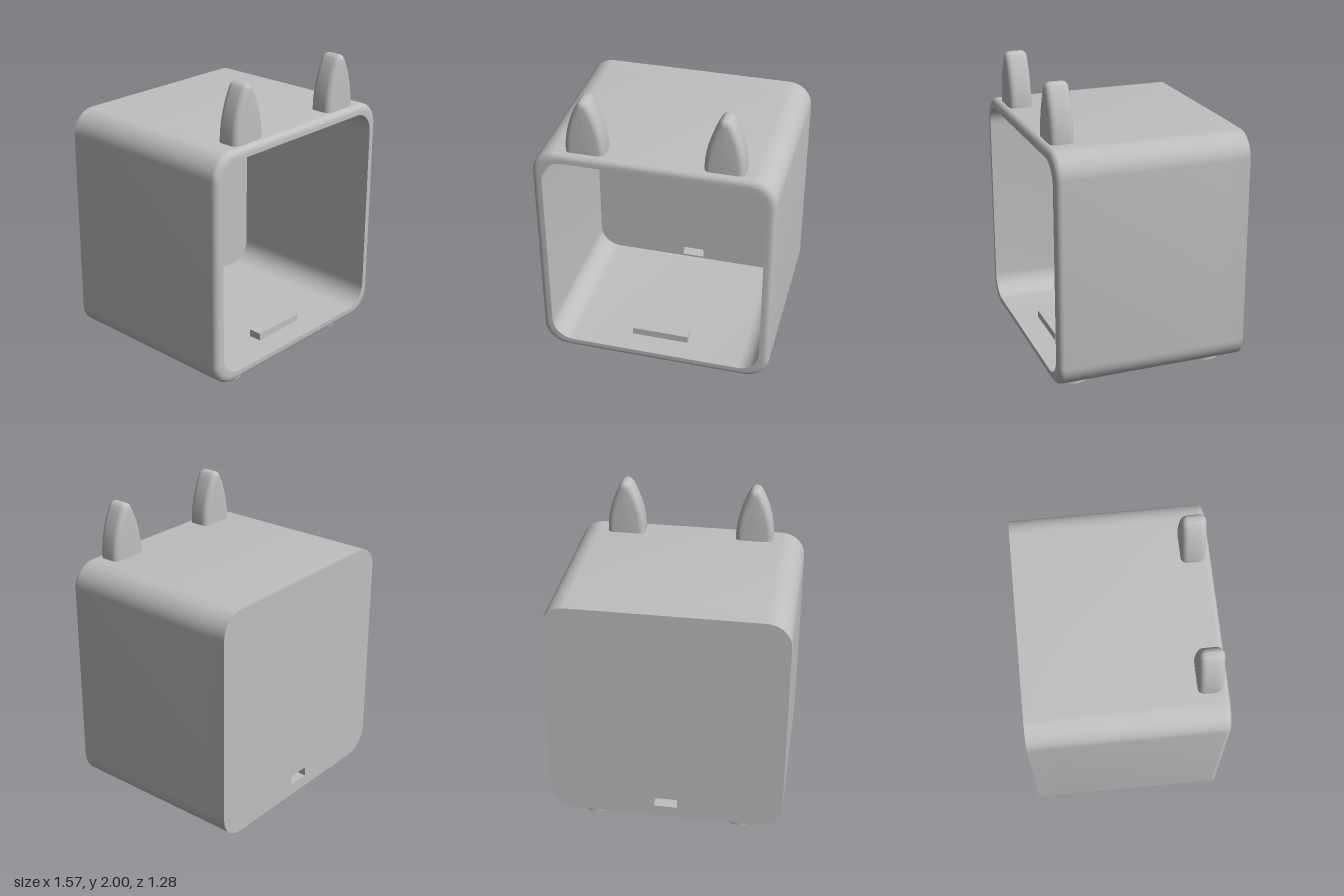
import * as THREE from 'three';
import { toCreasedNormals } from 'three/addons/utils/BufferGeometryUtils.js';

const HALF = 0.785, RADIUS = 0.16, WALL = 0.065, MID_Y = 0.85;
const BACK = -0.64, FRONT = 0.64, INNER_BACK = -0.475;

// Skin a list of equal-length rings, each counter-clockwise seen from +z
function loft(rings) {
  const n = rings[0].length, index = [];
  for (let i = 0; i < rings.length - 1; i++) {
    for (let j = 0; j < n; j++) {
      const k = (j + 1) % n;
      const a = i * n + j, b = i * n + k, c = b + n, d = a + n;
      index.push(a, b, c, a, c, d);
    }
  }
  const g = new THREE.BufferGeometry();
  g.setAttribute('position', new THREE.Float32BufferAttribute(rings.flat(2), 3));
  g.setIndex(index);
  return toCreasedNormals(g, 0.6);
}

// Rounded square outline, shrunk by inset
function squareOutline(inset) {
  const pts = [], steps = 12;
  const r = inset >= WALL ? 0.145 : RADIUS - inset * 0.23;
  const k = HALF - inset - r;
  for (let q = 0; q < 4; q++) {
    const sx = q === 0 || q === 3 ? 1 : -1, sy = q < 2 ? 1 : -1;
    for (let i = 0; i <= steps; i++) {
      const a = (q + i / steps) * Math.PI / 2;
      pts.push([sx * k + r * Math.cos(a), MID_Y + sy * k + r * Math.sin(a)]);
    }
  }
  return pts;
}

// Pointed arch with a rounded tip, shrunk by inset
function archOutline(inset) {
  const R = 0.703, c = 0.575, tip = 0.045, h = 0.32;
  const A = Math.atan2(h, c), right = [];
  for (let i = 0; i <= 12; i++) {
    const a = -0.05 + (A + 0.05) * i / 12;
    right.push([-c + (R - inset) * Math.cos(a), (R - inset) * Math.sin(a)]);
  }
  for (let i = 1; i <= 6; i++) {
    const a = A + (Math.PI / 2 - A) * i / 6;
    right.push([(tip - inset) * Math.cos(a), h + (tip - inset) * Math.sin(a)]);
  }
  const left = right.slice(0, -1).reverse().map(([x, y]) => [-x, y]);
  return right.concat(left);
}

const atZ = (outline, z) => outline.map(([x, y]) => [x, y, z]);

function shellGeometry() {
  const rings = [atZ(squareOutline(0), INNER_BACK)];
  const f = 0.04;
  for (let i = 0; i <= 6; i++) {
    const a = i / 6 * Math.PI / 2;
    rings.push(atZ(squareOutline(f * (1 - Math.cos(a))), FRONT - f + f * Math.sin(a)));
  }
  rings.push(atZ(squareOutline(WALL), FRONT), atZ(squareOutline(WALL), INNER_BACK));
  return loft(rings);
}

function backGeometry() {
  const toVec = ([x, y]) => new THREE.Vector2(x, y);
  const shape = new THREE.Shape(squareOutline(0).map(toVec));
  const slot = [[-0.078, 0.145], [-0.078, 0.21], [0.078, 0.21], [0.078, 0.145]];
  shape.holes.push(new THREE.Path(slot.map(toVec)));
  const g = new THREE.ExtrudeGeometry(shape, { depth: INNER_BACK - BACK, bevelEnabled: false });
  g.translate(0, 0, BACK);
  return toCreasedNormals(g, 0.6);
}

function earGeometry() {
  const half = 0.0775, f = 0.04;
  const cap = z => archOutline(0).map(() => [0, 0.12, z]);
  const rings = [cap(-half)];
  for (const side of [-1, 1]) {
    for (let i = 0; i <= 6; i++) {
      const a = (side < 0 ? 1 - i / 6 : i / 6) * Math.PI / 2;
      rings.push(atZ(archOutline(f * (1 - Math.cos(a))), side * (half - f + f * Math.sin(a))));
    }
  }
  rings.push(cap(half));
  return loft(rings);
}

export function createModel() {
  const model = new THREE.Group();
  model.name = 'earedCase';
  const grey = new THREE.MeshStandardMaterial({ color: 0xbfbfbf });
  grey.name = 'greyPlastic';

  function add(name, geometry, x = 0, y = 0, z = 0) {
    const mesh = new THREE.Mesh(geometry, grey);
    mesh.name = name;
    mesh.position.set(x, y, z);
    model.add(mesh);
  }

  // Open-fronted housing with a cable slot through the back wall
  add('shell', shellGeometry());
  add('backWall', backGeometry());

  // Stops inside the opening
  const stop = new THREE.BoxGeometry(0.39, 0.055, 0.09);
  add('bottomStop', stop, 0, 0.1525, 0.435);
  add('topStop', stop, 0, 1.5475, 0.435);

  // Ears and feet, mirrored left and right
  const ear = earGeometry();
  const foot = toCreasedNormals(new THREE.CylinderGeometry(0.098, 0.098, 0.08, 40), 0.6);
  for (const [side, s] of [['left', 1], ['right', -1]]) {
    add(side + 'Ear', ear, s * 0.443, 1.635, 0.5225);
    add(side + 'FrontFoot', foot, s * 0.492, 0.04, 0.455);
    add(side + 'BackFoot', foot, s * 0.492, 0.04, -0.49);
  }
  return model;
}
